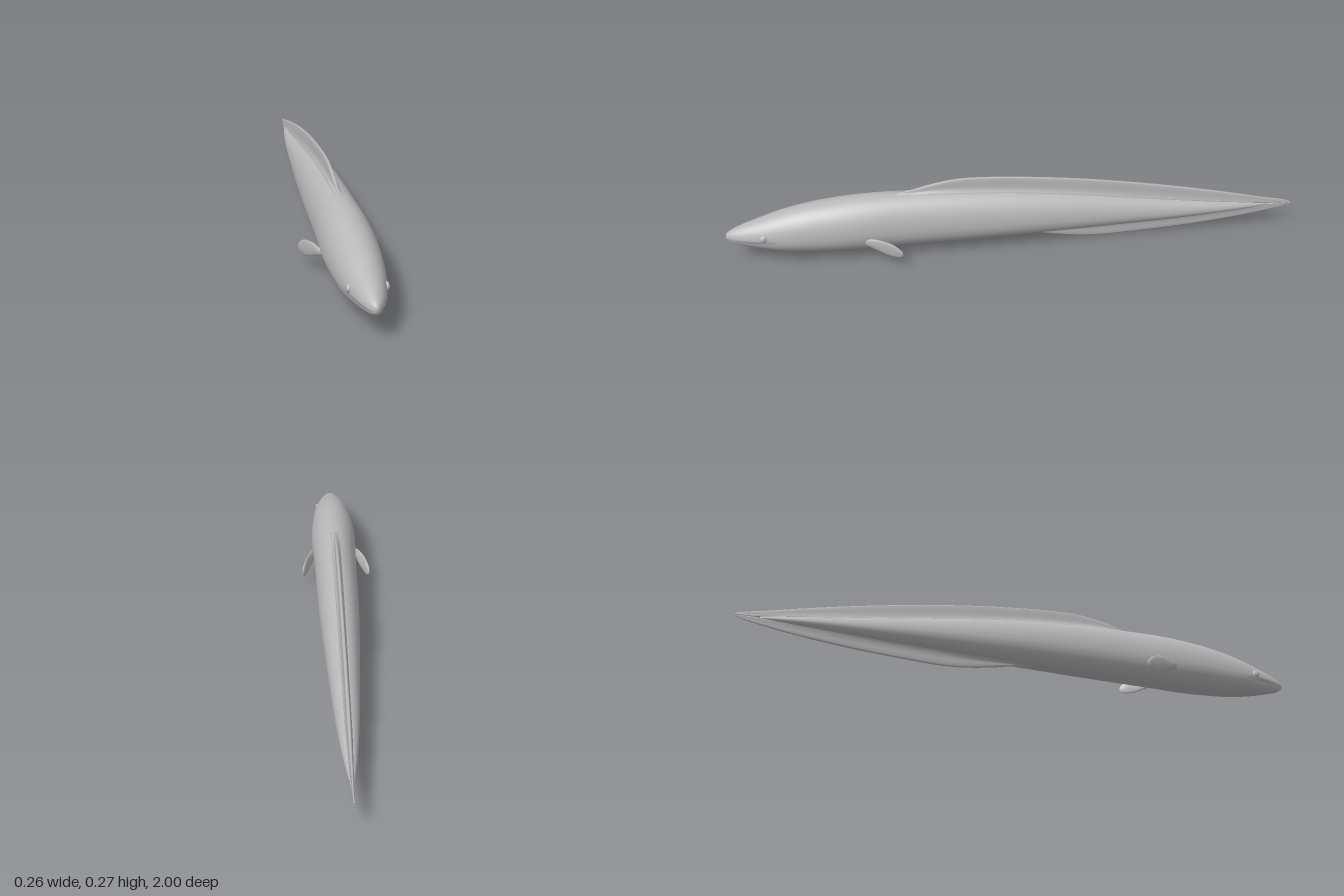
import * as THREE from 'three';

const CENTRE = 0.004; // the body sits a hair to its left

// Smooth lookup through rows of [z, ...values], z ascending
function sampler(rows) {
  const n = rows[0].length - 1;
  const curve = new THREE.CubicInterpolant(rows.map(r => r[0]), rows.flatMap(r => r.slice(1)), n);
  return z => Array.from(curve.evaluate(z));
}

// Closed skin over rings that run backwards, each ring clockwise seen from the front
function loft(rings) {
  const n = rings[0].length, pos = [], index = [];
  const centre = ring => ring.reduce((s, p) => s.add(p), new THREE.Vector3()).divideScalar(n);
  rings.forEach(ring => ring.forEach(p => pos.push(p.x, p.y, p.z)));
  const first = rings.length * n, last = first + 1, end = first - n;
  [rings[0], rings[rings.length - 1]].forEach(ring => pos.push(...centre(ring).toArray()));
  for (let j = 0; j < n; j++) {
    const k = (j + 1) % n;
    for (let i = 0; i < rings.length - 1; i++) {
      const a = i * n + j, b = i * n + k;
      index.push(a, b, a + n, b, b + n, a + n);
    }
    index.push(first, k, j, last, end + j, end + k);
  }
  const geometry = new THREE.BufferGeometry();
  geometry.setAttribute('position', new THREE.Float32BufferAttribute(pos, 3));
  geometry.setIndex(index);
  geometry.computeVertexNormals();
  return geometry;
}

// Body profile: z, half width, top, bottom
const body = sampler([
  [-0.92, 0.003, 0.088, 0.080], [-0.8, 0.020, 0.104, 0.072], [-0.6, 0.038, 0.130, 0.060],
  [-0.4, 0.050, 0.158, 0.052], [-0.2, 0.061, 0.186, 0.045], [0, 0.070, 0.208, 0.040],
  [0.2, 0.075, 0.221, 0.035], [0.4, 0.079, 0.226, 0.032], [0.5, 0.083, 0.225, 0.031],
  [0.6, 0.084, 0.218, 0.029], [0.7, 0.079, 0.205, 0.031], [0.8, 0.069, 0.183, 0.037],
  [0.9, 0.050, 0.150, 0.052], [0.95, 0.035, 0.132, 0.064], [0.985, 0.019, 0.116, 0.074],
  [1, 0.007, 0.105, 0.084],
]);

function bodyGeometry() {
  const rings = [], sides = 48, steps = 90;
  for (let i = 0; i <= steps; i++) {
    // rings gather towards the nose
    const z = 1 - 1.92 * Math.pow(i / steps, 1.35);
    const [w, top, bottom] = body(z);
    const mid = bottom + 0.42 * (top - bottom);
    const jaw = THREE.MathUtils.smoothstep(z, 0.8, 0.9) * 0.1;
    rings.push(Array.from({ length: sides }, (_, j) => {
      const a = j / sides * Math.PI * 2, s = Math.sin(a), c = Math.cos(a);
      const under = c < -0.05;
      // fuller belly, with the lower jaw set in below the lip
      const p = under ? 0.8 : 1;
      const x = Math.sign(s) * Math.pow(Math.abs(s), p) * w * (under ? 1 - jaw : 1);
      return new THREE.Vector3(CENTRE + x, mid + c * (c > 0 ? top - mid : mid - bottom), z);
    }));
  }
  return loft(rings);
}

// Thin fin along the midline with a flared root; dir is 1 for the back, -1 for the belly
function midlineFin(edgeRows, dir) {
  const edge = sampler(edgeRows), rings = [], steps = 70;
  const front = edgeRows[edgeRows.length - 1][0];
  for (let i = 0; i <= steps; i++) {
    const z = front - (front + 1) * i / steps;
    const [w, top, bottom] = z > -0.92 ? body(z) : [0.003, 0.085, 0.083];
    const base = dir > 0 ? top : bottom, tip = edge(z)[0];
    const h = Math.max(Math.abs(tip - base), 0.001);
    const t = Math.min(0.006, 0.002 + h * 0.2) * THREE.MathUtils.clamp((z + 1.1) / 0.4, 0.4, 1);
    const sink = Math.min(0.012, w * 0.2);
    const half = [
      [t * 0.5, h], [t * 0.95, h - Math.min(0.004, h * 0.15)], [t, h * 0.6],
      [t * 1.05, h * 0.35], [t * 1.4, h * 0.15], [t + w * 0.1, 0.001], [t + w * 0.22, -sink],
    ];
    const ring = [...half, ...half.map(([x, y]) => [-x, y]).reverse()]
      .map(([x, y]) => new THREE.Vector3(CENTRE + x, base + dir * y, z));
    rings.push(dir > 0 ? ring : ring.reverse());
  }
  return loft(rings);
}

// Paddle swept back from the flank; side is 1 for left, -1 for right
function pectoralFin(side) {
  // x, y, z, half chord, half thickness
  const stations = [
    [0.066, 0.083, 0.540, 0.010, 0.006], [0.080, 0.082, 0.520, 0.015, 0.006],
    [0.092, 0.077, 0.488, 0.025, 0.006], [0.106, 0.070, 0.455, 0.030, 0.005],
    [0.117, 0.064, 0.425, 0.027, 0.005], [0.124, 0.060, 0.408, 0.018, 0.004],
    [0.127, 0.059, 0.400, 0.008, 0.002],
  ];
  const rows = stations.map(([x, y, z, c, t]) => [z, x, y, c, t]).reverse();
  const at = sampler(rows), rings = [];
  for (let i = 0; i <= 24; i++) {
    const z = 0.54 - 0.14 * i / 24, [x, y, c, t] = at(z);
    rings.push(Array.from({ length: 20 }, (_, j) => {
      const a = j / 20 * Math.PI * 2, s = Math.sin(a) * t, k = Math.cos(a) * c;
      return new THREE.Vector3(side * x + s, y + k * 0.97, z + k * 0.25 + side * s * 0.35);
    }));
  }
  return loft(rings);
}

export function createModel() {
  const group = new THREE.Group();
  const skin = new THREE.MeshStandardMaterial({ color: 0xb8b8b8 });
  skin.name = 'grey skin';
  const add = (name, geometry) => {
    const mesh = new THREE.Mesh(geometry, skin);
    mesh.name = name;
    group.add(mesh);
    return mesh;
  };

  add('body', bodyGeometry());

  // Long back and belly fins meeting at the tail tip
  add('dorsalFin', midlineFin([
    [-1, 0.088], [-0.985, 0.094], [-0.9, 0.112], [-0.8, 0.135], [-0.6, 0.177], [-0.4, 0.213],
    [-0.2, 0.242], [0, 0.262], [0.1, 0.268], [0.2, 0.268], [0.3, 0.251], [0.36, 0.235], [0.41, 0.226],
  ], 1));
  add('analFin', midlineFin([
    [-1, 0.080], [-0.985, 0.074], [-0.9, 0.056], [-0.8, 0.040], [-0.6, 0.018], [-0.4, 0.005],
    [-0.3, 0.001], [-0.2, 0.008], [-0.1, 0.024], [-0.03, 0.038], [0.02, 0.040],
  ], -1));

  for (const side of [1, -1]) {
    const label = side > 0 ? 'left' : 'right';
    add(label + 'PectoralFin', pectoralFin(side));

    // Eye: low bump on the side of the head
    const eye = add(label + 'Eye', new THREE.SphereGeometry(1, 24, 16));
    eye.scale.set(0.009, 0.014, 0.016);
    eye.position.set(CENTRE + side * 0.053, 0.108, 0.866);
    eye.rotation.y = side * 0.3;
  }
  return group;
}
